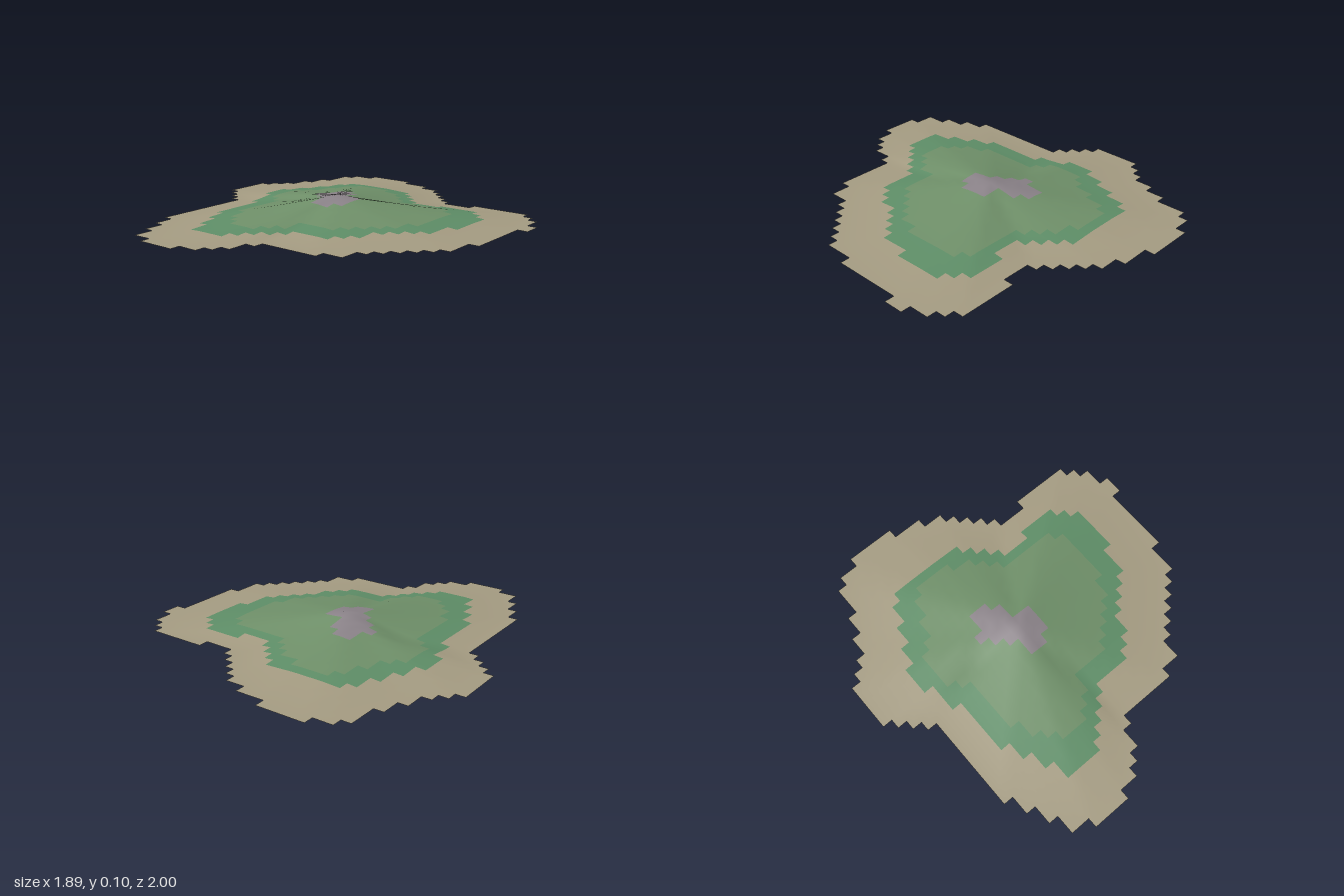
import * as THREE from 'three';

const CELL = 2 / 36, X0 = -17 * CELL, Z0 = -1;
const SUMMIT = [-0.06, -0.05];

// Column spans [from, to] of each grid row, for the three ground covers
const island = { start: 0,
  from: [8, 6, 5, 5, 5, 4, 4, 3, 3, 2, 1, 0, 0, 0, 0, 0, 1, 2, 3, 4, 4, 4, 4, 4, 4, 4, 4, 4, 4, 5, 5, 6, 6, 7, 7, 9],
  to: [13, 16, 18, 19, 20, 21, 31, 32, 33, 33, 34, 34, 33, 33, 33, 33, 33, 33, 33, 32, 32, 32, 31, 30, 29, 28, 27, 26, 26, 24, 18, 17, 17, 16, 15, 13],
  gap: [6, 22, 25] };
const grass = { start: 6,
  from: [9, 8, 8, 7, 7, 6, 6, 5, 5, 5, 6, 6, 6, 7, 7, 7, 7, 7, 7, 8, 8, 9, 9, 10, 10],
  to: [17, 18, 19, 27, 28, 29, 29, 29, 29, 29, 28, 28, 28, 27, 26, 25, 24, 24, 23, 22, 18, 17, 16, 15, 14],
  gap: [9, 20, 23] };
const rock = { start: 13, from: [13, 13, 12, 13, 14, 15, 15], to: [15, 16, 16, 18, 18, 18, 17] };

function covers(area, row, col) {
  const k = row - area.start;
  if (k < 0 || k >= area.from.length) return false;
  if (area.gap && row === area.gap[0] && col >= area.gap[1] && col < area.gap[2]) return false;
  return col >= area.from[k] && col < area.to[k];
}

// Shoreline around the summit, in order of growing angle
const shore = [
  [0.93, -0.38], [0.87, 0.1], [0.83, 0.2], [0.5, 0.55], [0.36, 0.66], [0.05, 0.66],
  [-0.02, 0.85], [-0.22, 1], [-0.45, 1], [-0.6, 0.8], [-0.72, 0.6], [-0.72, 0.05],
  [-0.94, -0.12], [-0.94, -0.38], [-0.75, -0.6], [-0.6, -0.92], [-0.5, -1], [-0.22, -1],
  [0.05, -0.87], [0.25, -0.63], [0.45, -0.65], [0.78, -0.66], [0.88, -0.55],
].map(([x, z]) => [x - SUMMIT[0], z - SUMMIT[1]]);
const cross = (a, b) => a[0] * b[1] - a[1] * b[0];

// 0 at the summit, 1 at the shore
function shoreFraction(x, z) {
  const d = [x - SUMMIT[0], z - SUMMIT[1]];
  for (let i = 0; i < shore.length; i++) {
    const a = shore[i], b = shore[(i + 1) % shore.length];
    if (cross(a, d) >= 0 && cross(d, b) >= 0) {
      const e = [b[0] - a[0], b[1] - a[1]];
      return Math.min(1, cross(d, e) / cross(a, e));
    }
  }
  return 1;
}

// Hill profile with a narrow gully running down the -x side
function height(x, z) {
  const t = shoreFraction(x, z);
  const gully = Math.exp(-(((z + 0.06) / 0.05) ** 2) - (((x + 0.36) / 0.15) ** 2));
  return Math.max(0, 0.105 * Math.pow(1 - t, 1.6) - 0.014 * gully);
}

function normalAt(x, z) {
  const e = CELL * 0.6;
  return new THREE.Vector3(
    height(x - e, z) - height(x + e, z), 2 * e, height(x, z - e) - height(x, z + e)).normalize();
}

// One surface from all grid cells that pass the test
function makeGround(name, color, test) {
  const positions = [], normals = [], indices = [], seen = new Map();
  const vertex = (row, col) => {
    const key = row * 100 + col;
    if (!seen.has(key)) {
      const x = X0 + col * CELL, z = Z0 + row * CELL;
      seen.set(key, positions.length / 3);
      positions.push(x, height(x, z), z);
      normals.push(...normalAt(x, z).toArray());
    }
    return seen.get(key);
  };
  for (let row = 0; row < 36; row++) {
    for (let col = 0; col < 34; col++) {
      if (!test(row, col)) continue;
      const a = vertex(row, col), b = vertex(row + 1, col);
      const c = vertex(row + 1, col + 1), d = vertex(row, col + 1);
      indices.push(a, b, d, b, c, d);
    }
  }
  const geometry = new THREE.BufferGeometry();
  geometry.setAttribute('position', new THREE.Float32BufferAttribute(positions, 3));
  geometry.setAttribute('normal', new THREE.Float32BufferAttribute(normals, 3));
  geometry.setIndex(indices);
  const mesh = new THREE.Mesh(geometry,
    new THREE.MeshStandardMaterial({ color, side: THREE.DoubleSide }));
  mesh.name = name;
  return mesh;
}

export function createModel() {
  const group = new THREE.Group();
  group.name = 'island';
  const isRock = (r, c) => covers(rock, r, c);
  const isGrass = (r, c) => covers(grass, r, c) && !isRock(r, c);
  const isSand = (r, c) => covers(island, r, c) && !covers(grass, r, c);
  // The outer grass is greener than the dry slope above it
  const isLow = (r, c) =>
    shoreFraction(X0 + (c + 0.5) * CELL, Z0 + (r + 0.5) * CELL) > 0.57 ||
    [[1, 0], [-1, 0], [0, 1], [0, -1]].some(([i, j]) => !covers(grass, r + i, c + j));
  group.add(
    makeGround('beach', 0xa69d83, isSand),
    makeGround('lowGrass', 0x5f8f68, (r, c) => isGrass(r, c) && isLow(r, c)),
    makeGround('highGrass', 0x70916a, (r, c) => isGrass(r, c) && !isLow(r, c)),
    makeGround('summitRock', 0x8c848a, isRock));
  return group;
}
